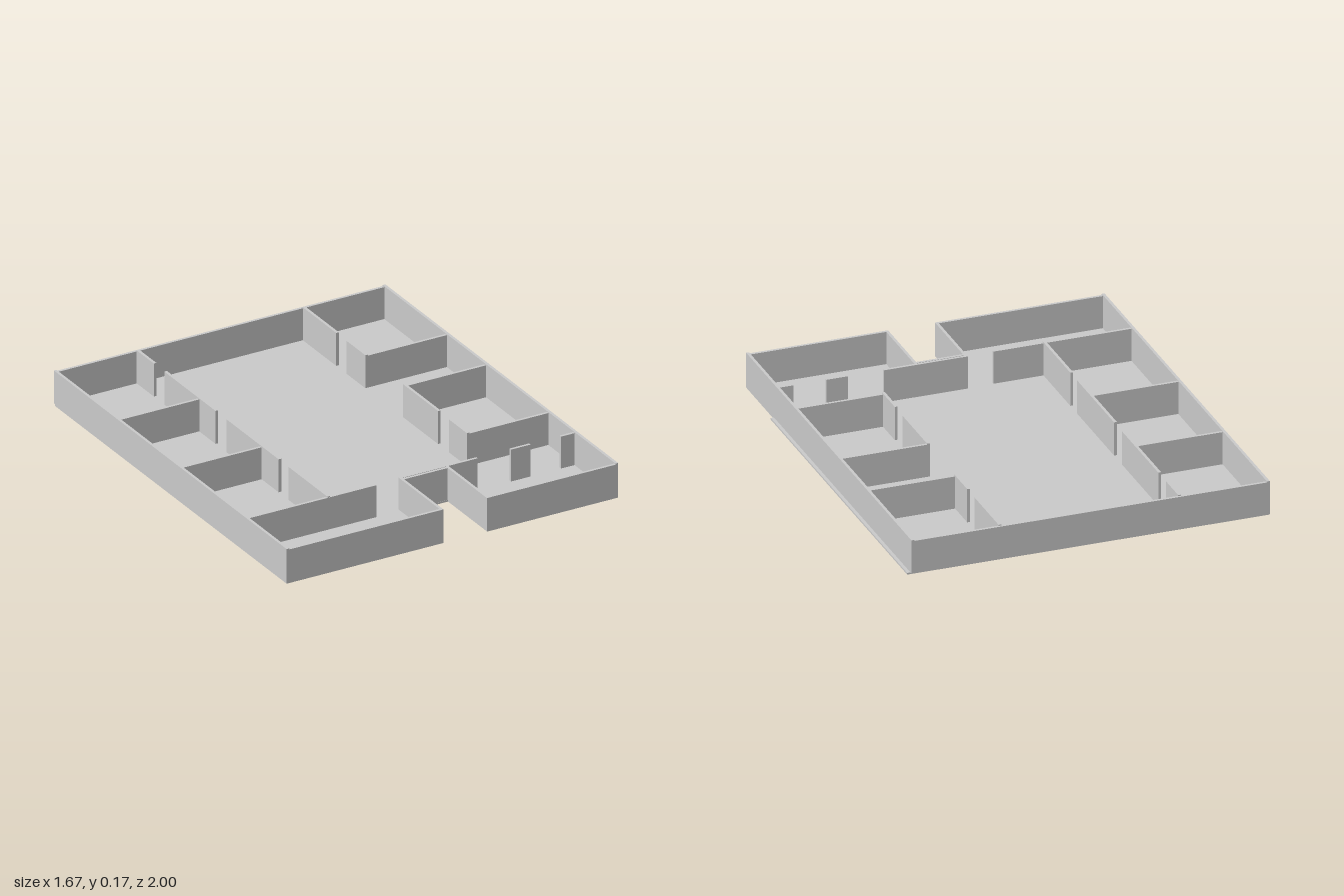
import * as THREE from 'three';

const T = 0.013;      // wall thickness
const BASE = 0.008;   // floor thickness
const LOW = 0.162;    // top of the walls running along x
const HIGH = 0.167;   // top of the walls running along z

export function createModel() {
  const model = new THREE.Group();
  const grey = new THREE.MeshStandardMaterial({ color: 0xcccccc, flatShading: true });

  // Box from its limits in x and z, standing on the floor
  function wall(name, x0, x1, z0, z1, top) {
    const mesh = new THREE.Mesh(new THREE.BoxGeometry(x1 - x0, top - BASE, z1 - z0), grey);
    mesh.position.set((x0 + x1) / 2, (top + BASE) / 2, (z0 + z1) / 2);
    mesh.name = name;
    model.add(mesh);
  }
  const alongX = (name, z, x0, x1) => wall(name, x0, x1, z, z + T, LOW);
  const alongZ = (name, x, z0, z1, top = HIGH) => wall(name, x, x + T, z0, z1, top);

  // Floor slab with the entrance notch and a narrow ledge on the left side
  const outline = [
    [-0.837, -0.988], [0.835, -0.988], [0.835, 0.664], [0.82, 0.664], [0.82, 1],
    [0.165, 1], [0.165, 0.664], [-0.054, 0.664], [-0.054, 1], [-0.837, 1],
  ];
  const shape = new THREE.Shape(outline.map(([x, z]) => new THREE.Vector2(x, -z)));
  const floorGeometry = new THREE.ExtrudeGeometry(shape, { depth: BASE, bevelEnabled: false });
  floorGeometry.rotateX(-Math.PI / 2);
  const floor = new THREE.Mesh(floorGeometry, grey);
  floor.name = 'floor';
  model.add(floor);

  // Outer walls
  alongX('backWall', -1, -0.837, 0.82);
  alongZ('rightOuterWall', -0.837, -1, 1);
  alongZ('leftOuterWall', 0.807, -1, 1);
  alongX('frontWallRight', 0.987, -0.837, -0.053);
  alongX('frontWallLeft', 0.987, 0.164, 0.82);

  // Entrance recess
  alongZ('entranceSideRight', -0.066, 0.634, 1, LOW);
  alongZ('entranceSideLeft', 0.164, 0.647, 1, LOW);
  alongX('entranceBackWall', 0.65, -0.053, 0.164);

  // Corridor walls, broken by the doorways
  for (const [z0, z1] of [[-0.99, -0.84], [-0.75, -0.31], [-0.215, 0.232], [0.315, 0.65]])
    alongZ('rightCorridorWall', -0.43, z0, z1);
  for (const [z0, z1] of [[-0.99, -0.7], [-0.61, -0.45], [-0.125, 0.175], [0.267, 0.422]])
    alongZ('leftCorridorWall', 0.4, z0, z1);

  // Walls between the rooms
  for (const [z, x1] of [[-0.463, -0.42], [0.073, -0.42], [0.639, -0.185]])
    alongX('rightRoomDivider', z, -0.83, x1);
  for (const z of [-0.463, -0.125, 0.409])
    alongX('leftRoomDivider', z, 0.405, 0.815);

  // Front hall divider with two openings
  for (const [x0, x1] of [[-0.066, 0.323], [0.49, 0.588], [0.74, 0.815]])
    alongX('hallDivider', 0.634, x0, x1);

  return model;
}
